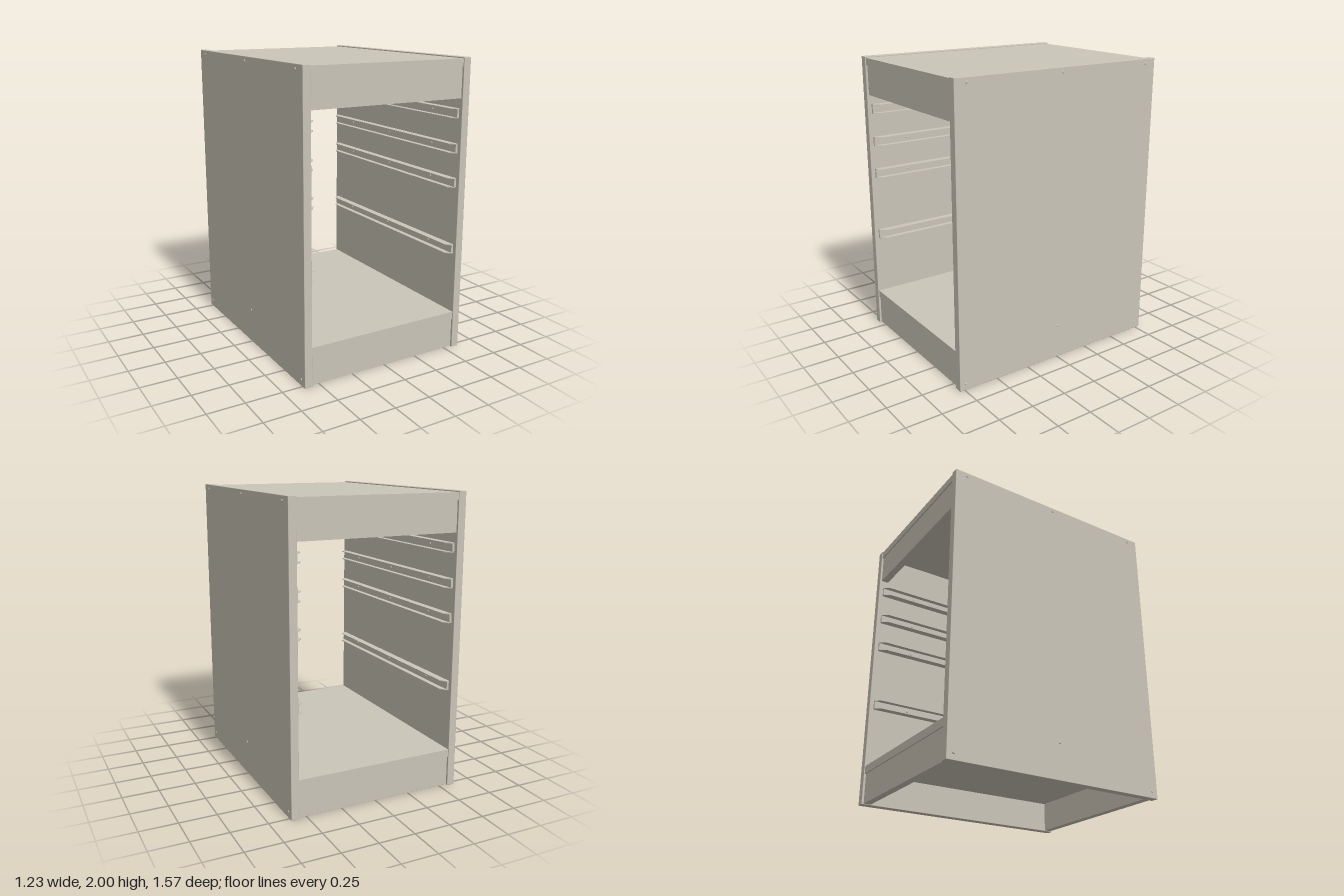
import * as THREE from 'three';
import { RoundedBoxGeometry } from 'three/addons/geometries/RoundedBoxGeometry.js';

export function createModel() {
  const model = new THREE.Group();
  model.name = 'cabinetCarcass';
  const board = new THREE.MeshStandardMaterial({ color: 0xcbc5b8 });
  board.name = 'warmGrey';

  const add = (name, geometry, x, y, z, parent = model) => {
    const mesh = new THREE.Mesh(geometry, board);
    mesh.name = name;
    mesh.position.set(x, y, z);
    parent.add(mesh);
    return mesh;
  };
  // box given by its limits on each axis
  const box = (name, x0, x1, y0, y1, z0, z1, parent) =>
    add(name, new THREE.BoxGeometry(x1 - x0, y1 - y0, z1 - z0),
      (x0 + x1) / 2, (y0 + y1) / 2, (z0 + z1) / 2, parent);

  // horizontal boards
  box('topBoard', -0.557, 0.557, 1.942, 1.992, -0.78, 0.778);
  box('bottomBoard', -0.557, 0.557, 0.21, 0.263, -0.78, 0.778);

  // cross rails and plinths, set back slightly under the boards
  for (const [end, s] of [['front', 1], ['back', -1]]) {
    const z0 = Math.min(s * 0.72, s * 0.77), z1 = Math.max(s * 0.72, s * 0.77);
    box(end + 'TopRail', -0.557, 0.557, 1.738, 1.942, z0, z1);
    box(end + 'Plinth', -0.557, 0.557, 0.005, 0.21, z0, z1);
  }

  // runner flange: a strip with tapered ends, seen in plan (x inward, y along depth)
  const flangeShape = new THREE.Shape([
    [0, -0.755], [0.022, -0.755], [0.05, -0.715], [0.05, 0.715], [0.022, 0.755], [0, 0.755],
  ].map(([x, y]) => new THREE.Vector2(x, y)));
  const flange = new THREE.ExtrudeGeometry(flangeShape, { depth: 0.005, bevelEnabled: false });
  flange.rotateX(-Math.PI / 2);

  const runnerHeights = [1.64, 1.408, 1.176, 0.715];
  const screws = [[1.97, 0.7], [1.97, 0], [1.97, -0.7], [0.24, 0], [0.045, 0.74], [0.045, -0.74]];
  const screwHead = new THREE.CylinderGeometry(0.006, 0.009, 0.005, 12);
  screwHead.rotateZ(-Math.PI / 2);

  // each side is built facing +x, then turned half round for the other
  for (const [name, turn] of [['left', 0], ['right', Math.PI]]) {
    const side = new THREE.Group();
    side.name = name + 'Side';
    side.rotation.y = turn;
    model.add(side);

    add('sidePanel', new RoundedBoxGeometry(0.054, 2, 1.57, 1, 0.003), 0.583, 1, 0, side);

    // C-section drawer runners
    for (const y of runnerHeights) {
      const runner = new THREE.Group();
      runner.name = 'drawerRunner';
      runner.position.set(0.556, y, 0);
      side.add(runner);
      box('runnerWeb', -0.015, 0, -0.03, 0.03, -0.755, 0.755, runner);
      for (const fy of [-0.032, 0.027]) {
        add('runnerFlange', flange, 0, fy + 0.005, 0, runner).rotation.z = Math.PI;
      }
      for (const z of [-0.5, 0, 0.5]) {
        add('runnerScrew', screwHead, -0.017, 0, z, runner).rotation.y = Math.PI;
      }
    }

    // screw heads on the outer face
    for (const [y, z] of screws) add('screwHead', screwHead, 0.6125, y, name === 'left' ? z : -z, side);
  }
  return model;
}
